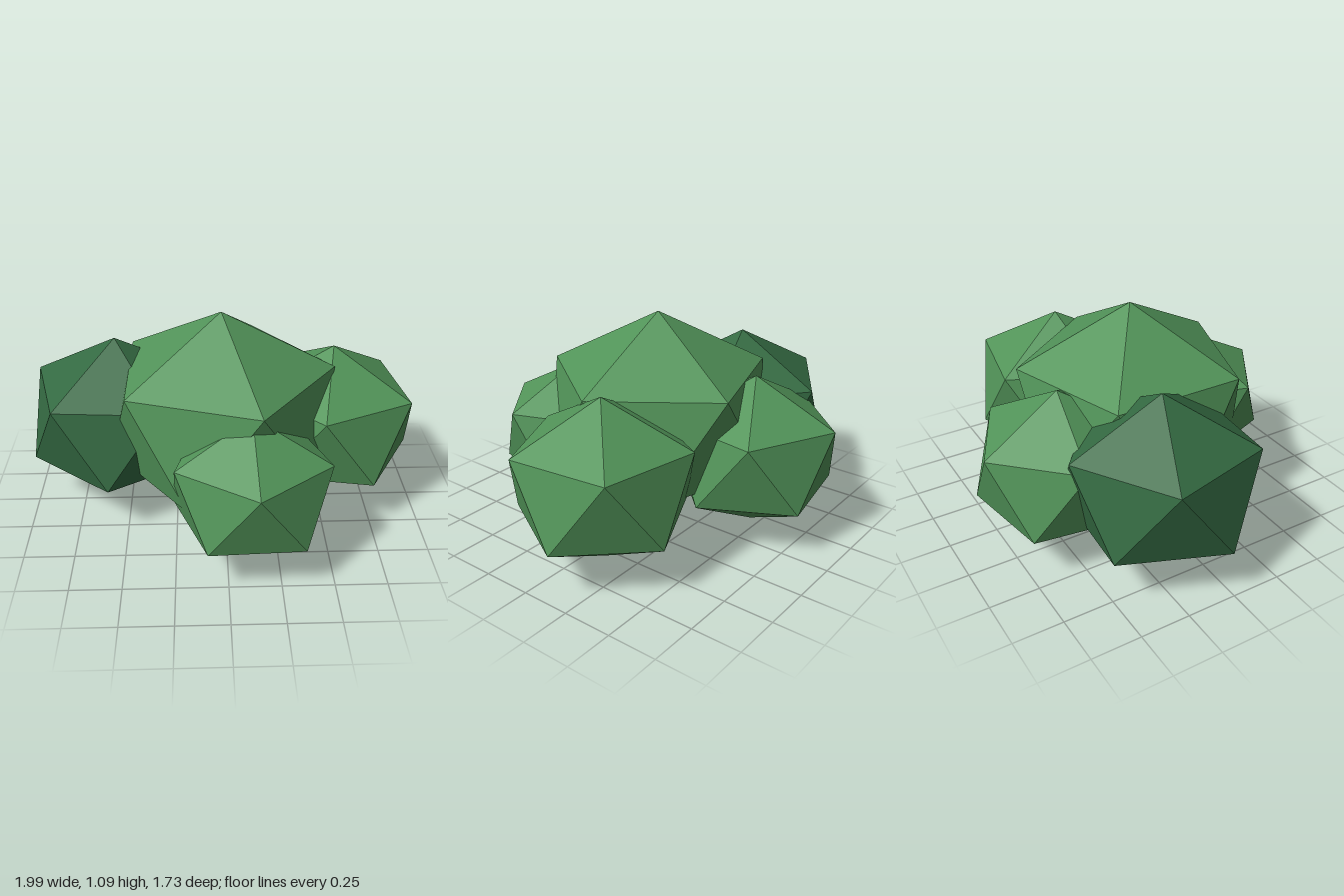
import * as THREE from 'three';

// Faceted clump: a twenty-sided ball standing on one corner, slightly squashed
function clumpGeometry(radius, squash, turnDegrees) {
  const g = new THREE.IcosahedronGeometry(1, 0);
  g.rotateZ(Math.atan(2 / (1 + Math.sqrt(5)))); // bring a corner to the top
  g.rotateY(Math.PI - THREE.MathUtils.degToRad(turnDegrees));
  g.scale(radius, radius * squash, radius);
  return g;
}

export function createModel() {
  const leafGreen = new THREE.MeshStandardMaterial({ color: 0x529459 });
  leafGreen.name = 'leafGreen';
  const darkGreen = new THREE.MeshStandardMaterial({ color: 0x346a42 });
  darkGreen.name = 'darkGreen';

  // name, centre, radius, turn about y, material
  const clumps = [
    ['centreClump', [-0.015, 0.545, 0.025], 0.637, 0, leafGreen],
    ['leftClump', [0.565, 0.432, -0.1], 0.484, 29, leafGreen],
    ['rightClump', [-0.555, 0.453, -0.13], 0.512, 58, darkGreen],
    ['frontClump', [0.115, 0.392, 0.48], 0.431, 15.5, leafGreen],
    ['backClump', [-0.17, 0.418, -0.46], 0.463, 44, leafGreen],
  ];

  const bush = new THREE.Group();
  bush.name = 'bush';
  for (const [name, centre, radius, turn, material] of clumps) {
    const mesh = new THREE.Mesh(clumpGeometry(radius, 0.855, turn), material);
    mesh.name = name;
    mesh.position.set(...centre);
    bush.add(mesh);
  }
  return bush;
}
